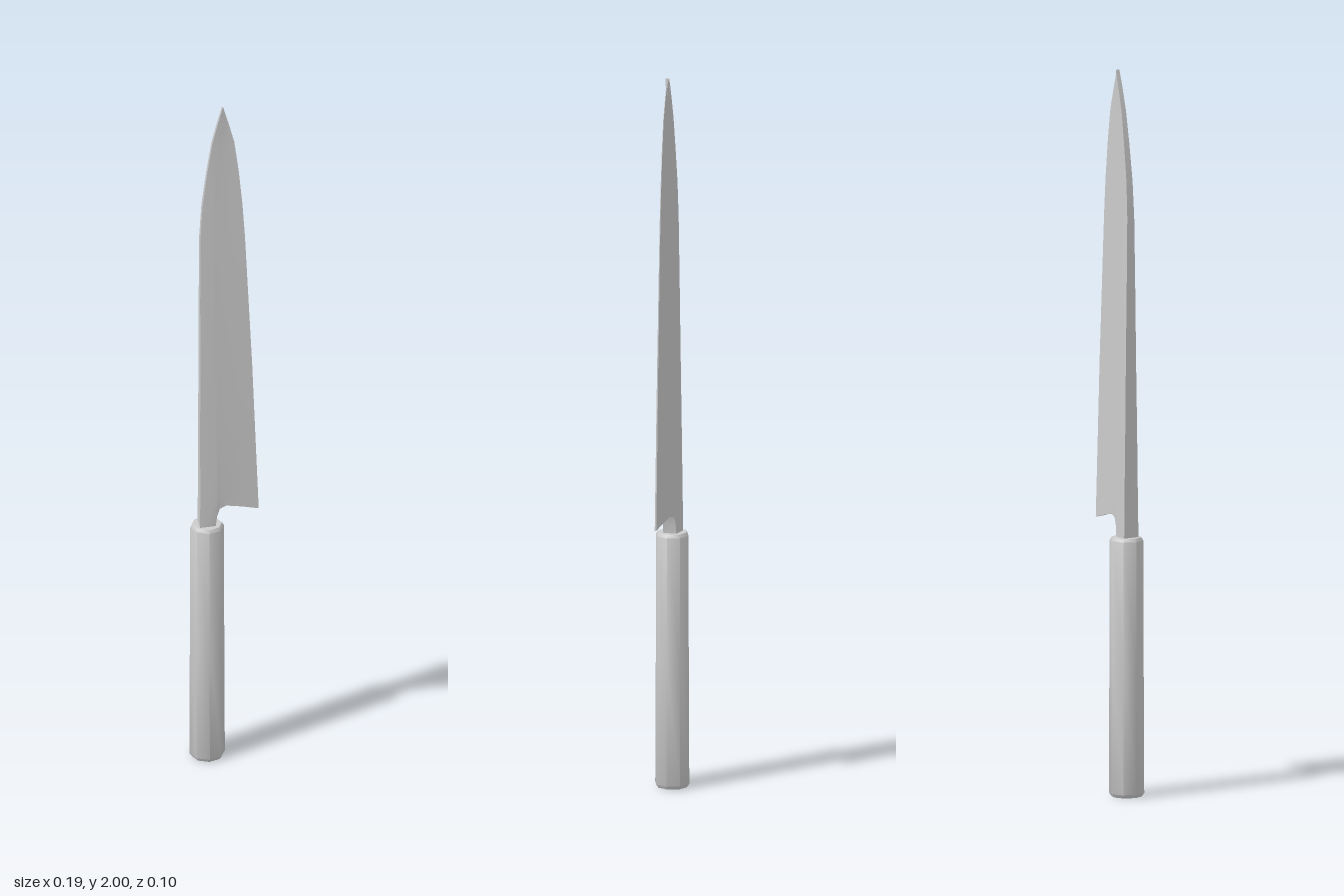
import * as THREE from 'three';
import { toCreasedNormals } from 'three/addons/utils/BufferGeometryUtils.js';

const grey = new THREE.MeshStandardMaterial({ color: 0xcccccc });

// Eight-sided, slightly tapered handle with bevelled ends
function handleGeometry() {
  const profile = [[0, 0], [0.042, 0], [0.049, 0.01], [0.0475, 0.35], [0.0465, 0.707], [0.041, 0.716], [0, 0.716]]
    .map(([r, y]) => new THREE.Vector2(r, y));
  return toCreasedNormals(new THREE.LatheGeometry(profile, 8), 0.9);
}

// Wedge blade: a closed loop of points per row, thick at the spine, thin at the edge
function bladeGeometry() {
  // Position across the blade and share of the spine thickness
  const columns = [[0, 1], [0.27, 0.83], [0.32, 0.77], [0.37, 0.71], [0.46, 0.6], [0.73, 0.33], [1, 0.1]];
  // Neck and heel contour, one point per column
  const heel = [[-0.07, 0.7], [-0.028, 0.7], [-0.022, 0.745], [-0.014, 0.767], [0.004, 0.774], [0.05, 0.764], [0.095, 0.752]];
  // Height, spine x, edge x
  const sections = [
    [0.8, -0.069, 0.093], [1.0, -0.069, 0.085], [1.2, -0.068, 0.077], [1.4, -0.068, 0.067],
    [1.6, -0.067, 0.057], [1.7, -0.061, 0.05], [1.8, -0.048, 0.04], [1.89, -0.034, 0.028],
    [1.95, -0.019, 0.012], [2.0, -0.005, -0.003],
  ];
  const rows = [heel, ...sections.map(([y, spine, edge]) =>
    columns.map(([t]) => [THREE.MathUtils.lerp(spine, edge, t), y]))];

  const n = columns.length, loop = 2 * n;
  const positions = [], index = [];
  for (const row of rows) {
    for (let k = 0; k < loop; k++) {
      const j = k < n ? k : loop - 1 - k;
      const [x, y] = row[j];
      const half = THREE.MathUtils.mapLinear(y, 0.7, 2, 0.024, 0.006) * columns[j][1];
      positions.push(x, y, k < n ? half : -half);
    }
  }
  const quad = (a, b, c, d) => index.push(a, b, c, a, c, d);
  for (let i = 0; i < rows.length - 1; i++) {
    for (let k = 0; k < loop; k++) {
      const next = (k + 1) % loop;
      quad(i * loop + k, i * loop + next, (i + 1) * loop + next, (i + 1) * loop + k);
    }
  }
  // Close the heel and the tip
  const top = (rows.length - 1) * loop;
  for (let j = 0; j < n - 1; j++) {
    const back = loop - 1 - j;
    quad(j, back, back - 1, j + 1);
    quad(top + j, top + j + 1, top + back - 1, top + back);
  }
  const geometry = new THREE.BufferGeometry();
  geometry.setAttribute('position', new THREE.Float32BufferAttribute(positions, 3));
  geometry.setIndex(index);
  return toCreasedNormals(geometry, 0.7);
}

export function createModel() {
  const knife = new THREE.Group();
  knife.name = 'kitchenKnife';

  const handle = new THREE.Mesh(handleGeometry(), grey);
  handle.name = 'handle';
  handle.position.x = -0.047;

  const blade = new THREE.Mesh(bladeGeometry(), grey);
  blade.name = 'blade';

  knife.add(handle, blade);
  return knife;
}
